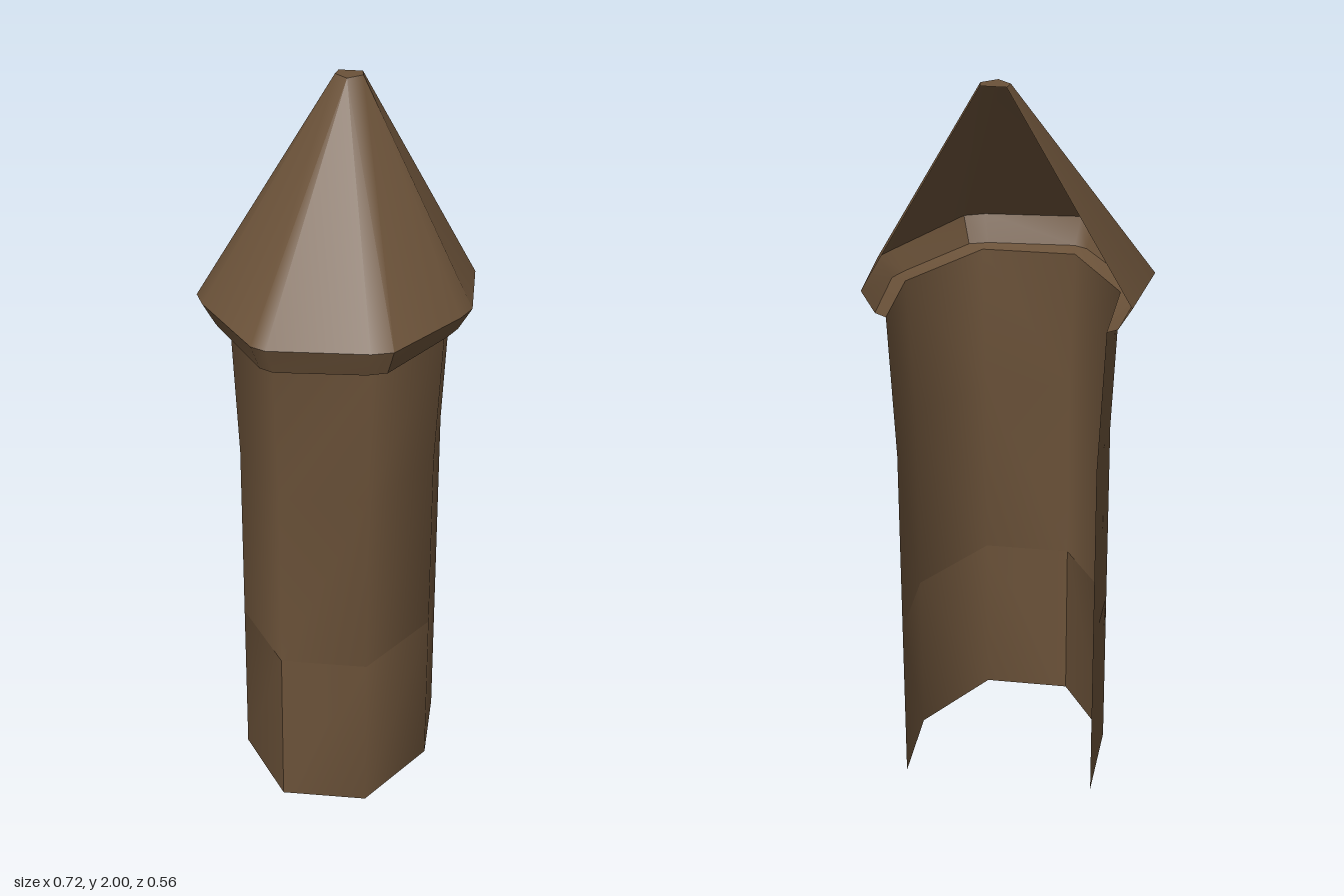
import * as THREE from 'three';
import { toCreasedNormals } from 'three/addons/utils/BufferGeometryUtils.js';

const wood = new THREE.MeshStandardMaterial({ color: 0x6b5239, side: THREE.DoubleSide });
wood.name = 'brown wood';

// Outlines run from the back on -x, round the front, to the back on +x: [x, z]
const BACK = -0.28;
const wallPlan = [[-0.25, BACK], [-0.252, -0.02], [-0.11, 0.2], [0.125, 0.195], [0.273, -0.04], [0.27, BACK]];
const eavePlan = [[-0.33, BACK], [-0.36, -0.04], [-0.335, 0.015], [-0.165, 0.26], [-0.125, 0.28],
  [0.135, 0.26], [0.19, 0.24], [0.335, 0], [0.36, -0.055], [0.35, BACK]];
const tipPlan = [[-0.02, BACK], [-0.025, -0.25], [0.01, -0.22], [0.048, -0.25], [0.043, BACK]];

// Raise a plan to a height, scaled outward while its back stays on the cut plane
const ring = (plan, y, s = 1) => plan.map(([x, z]) => new THREE.Vector3(
  0.01 + (x - 0.01) * s, typeof y === 'function' ? y(x, z) : y, z <= BACK ? BACK : z * s));
const pick = (points, order) => order.map(i => points[i]);

// Skin between successive rings of equal length, dropping collapsed triangles
function loft(name, rings, crease) {
  const pos = [];
  const tri = (a, b, c) => {
    const n = b.clone().sub(a).cross(c.clone().sub(a));
    if (n.length() > 1e-7) [a, b, c].forEach(p => pos.push(p.x, p.y, p.z));
  };
  for (let r = 0; r < rings.length - 1; r++) {
    const lo = rings[r], hi = rings[r + 1];
    for (let i = 0; i < lo.length - 1; i++) {
      tri(lo[i], lo[i + 1], hi[i + 1]);
      tri(lo[i], hi[i + 1], hi[i]);
    }
  }
  const geo = new THREE.BufferGeometry();
  geo.setAttribute('position', new THREE.Float32BufferAttribute(pos, 3));
  const mesh = new THREE.Mesh(toCreasedNormals(geo, crease), wood);
  mesh.name = name;
  return mesh;
}

export function createModel() {
  const group = new THREE.Group();
  group.name = 'halfTower';

  // Open-backed wall: straight base and shaft, slightly flared neck
  const wallTop = ring(wallPlan, 1.39, 1.07);
  group.add(loft('wallBase', [ring(wallPlan, 0), ring(wallPlan, 0.47)], 1.0));
  group.add(loft('wallShaft', [ring(wallPlan, 0.47), ring(wallPlan, 1), wallTop], 1.2));

  // Eave: flat soffit out from the wall, then a sloping rim up to the roof edge
  const eaveY = (x, z) => 1.457 + 0.06 * Math.max(0, z);
  const roofEdge = ring(eavePlan, eaveY);
  const rimBottom = ring(eavePlan, 1.4, 0.9);
  const soffitInner = pick(wallTop, [0, 1, 1, 2, 2, 3, 3, 4, 4, 5]);
  group.add(loft('eaveSoffit', [soffitInner, rimBottom], 0.6));
  group.add(loft('eaveRim', [rimBottom, roofEdge], 0.6));

  // Half spire leaning back to the cut plane
  const tip = ring(tipPlan, 2);
  group.add(loft('roof', [roofEdge, pick(tip, [0, 1, 1, 1, 2, 2, 2, 3, 3, 4])], 0.5));

  // Small flat cap on the tip
  const centre = new THREE.Vector3(0.01, 2, BACK);
  group.add(loft('roofCap', [tip, tip.map(() => centre)], 0.5));
  return group;
}
